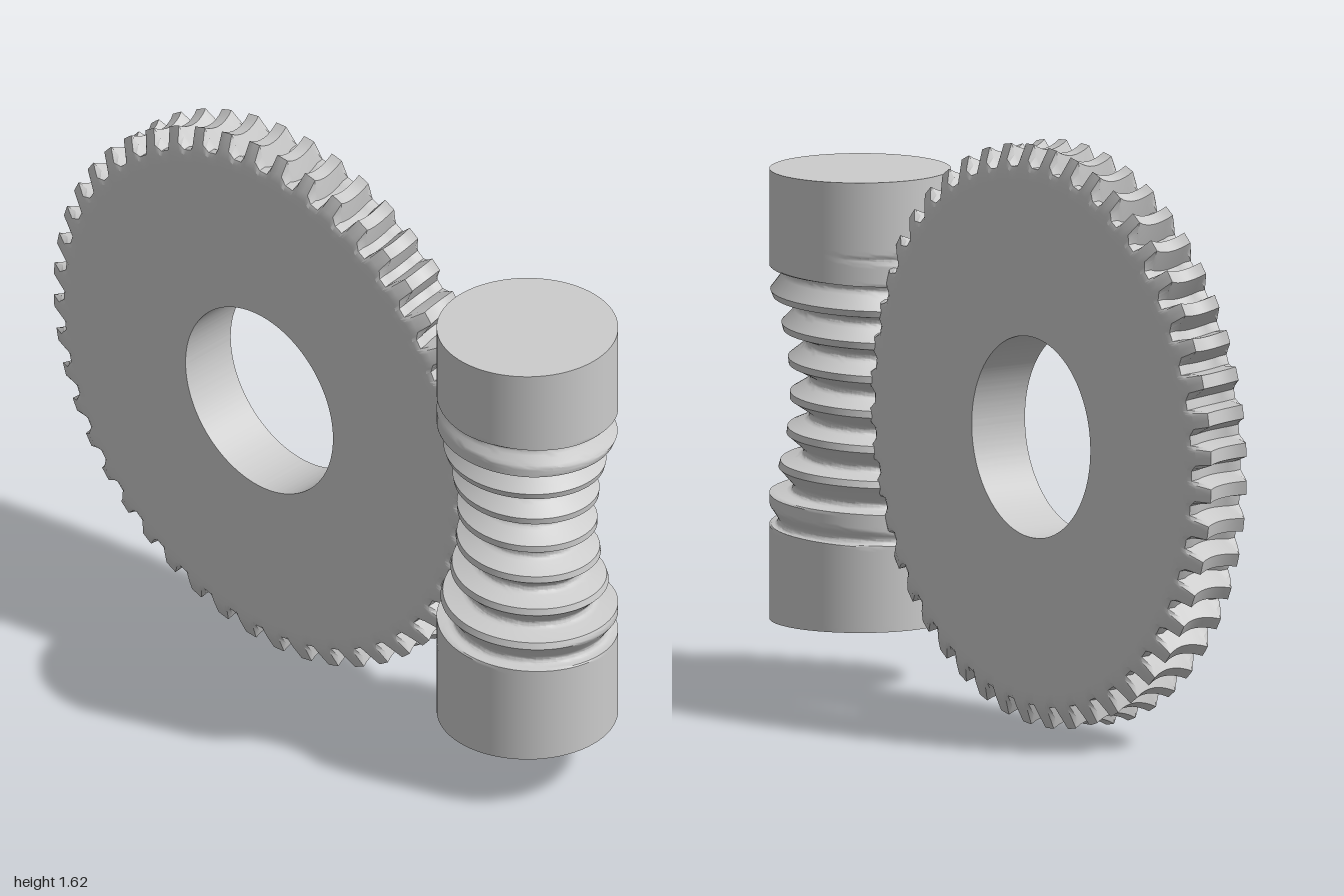
import * as THREE from 'three';
import { toCreasedNormals } from 'three/addons/utils/BufferGeometryUtils.js';

const TEETH = 48, PITCH = Math.PI * 2 / TEETH;      // angular pitch of the wheel
const WHEEL_X = -0.19, AXIS_Y = 0.81, WORM_X = 0.743;
const CENTRES = WORM_X - WHEEL_X;                   // distance between the two axes
const WORM_R = 0.25, WORM_BOTTOM = 0.17, WORM_TOP = 1.425;

const material = new THREE.MeshStandardMaterial({ color: 0xcccccc });

// Surface from a grid of points; u x v points outward
function gridSurface(nu, nv, point, crease) {
  const positions = [], index = [];
  for (let i = 0; i <= nu; i++)
    for (let j = 0; j <= nv; j++) positions.push(...point(i, j));
  for (let i = 0; i < nu; i++)
    for (let j = 0; j < nv; j++) {
      const a = i * (nv + 1) + j, b = a + nv + 1;
      index.push(a, b, b + 1, a, b + 1, a + 1);
    }
  const geometry = new THREE.BufferGeometry();
  geometry.setAttribute('position', new THREE.Float32BufferAttribute(positions, 3));
  geometry.setIndex(index);
  return toCreasedNormals(geometry, crease);
}

// Trapezoid profile: 1 on the crest, 0 in the groove; t is in pitches from the crest
function trapezoid(t, crestHalf, baseHalf) {
  const d = Math.abs(t - Math.round(t));
  return THREE.MathUtils.clamp((baseHalf - d) / (baseHalf - crestHalf), 0, 1);
}

// Throated wheel: closed section of [z, root radius, tip radius]
function wheelGeometry() {
  const half = [[0.015, 0.731, 0.791], [0.03, 0.735, 0.795], [0.045, 0.74, 0.801],
    [0.06, 0.748, 0.81], [0.083, 0.748, 0.768], [0.09, 0.735, 0.745], [0.09, 0.71, 0.71]];
  const section = [
    [-0.09, 0.28, 0.28],
    ...half.map(([z, r, t]) => [-z, r, t]).reverse(),
    [0, 0.73, 0.79],
    ...half,
    [0.09, 0.28, 0.28],
    [-0.09, 0.28, 0.28],
  ];
  // angular stops within one pitch, gap centre to gap centre
  const stops = [0, 0.14, 0.23, 0.32, 0.5, 0.68, 0.77, 0.86];
  return gridSurface(TEETH * stops.length, section.length - 1, (i, j) => {
    const [z, root, tip] = section[j];
    const t = Math.floor(i / stops.length) + stops[i % stops.length];
    const r = root + (tip - root) * trapezoid(t - 0.5, 0.18, 0.36);
    // teeth lean with the lead of the worm
    const lean = root > 0.3 ? -PITCH / (2 * Math.PI) * Math.asin(z / 0.16) : 0;
    const a = t * PITCH + lean;
    return [r * Math.cos(a), r * Math.sin(a), z];
  }, 0.5);
}

// Hourglass worm: the thread follows an arc about the wheel axis, clipped to a cylinder
function wormGeometry() {
  const perTurn = 20, turns = 14, sides = 72;
  return gridSurface(perTurn * turns, sides, (i, j) => {
    const theta = j / sides * Math.PI * 2;
    const row = i / perTurn - turns / 2 - 0.5;       // crest faces the wheel at mid height
    const a = (row + theta / (2 * Math.PI)) * PITCH;
    let rho = 0.795 - 0.055 * trapezoid(row, 0.1, 0.42);
    rho = Math.max(rho, (CENTRES - WORM_R) / Math.cos(a));
    const r = CENTRES - rho * Math.cos(a);
    const y = THREE.MathUtils.clamp(AXIS_Y + rho * Math.sin(a), WORM_BOTTOM, WORM_TOP);
    return [r * Math.cos(theta), y, r * Math.sin(theta)];
  }, 0.6);
}

export function createModel() {
  const model = new THREE.Group();
  model.name = 'wormDrive';
  const add = (parent, name, geometry) => {
    const mesh = new THREE.Mesh(geometry, material);
    mesh.name = name;
    parent.add(mesh);
    return mesh;
  };

  add(model, 'wormWheel', wheelGeometry()).position.set(WHEEL_X, AXIS_Y, 0);

  const worm = new THREE.Group();
  worm.name = 'worm';
  worm.position.x = WORM_X;
  model.add(worm);
  add(worm, 'wormThread', wormGeometry());

  // flat ends of the worm
  for (const [name, y, tilt] of [['topEnd', WORM_TOP, -1], ['bottomEnd', WORM_BOTTOM, 1]]) {
    const end = add(worm, name, new THREE.CircleGeometry(WORM_R, 72));
    end.position.y = y;
    end.rotation.x = tilt * Math.PI / 2;
  }
  return model;
}
